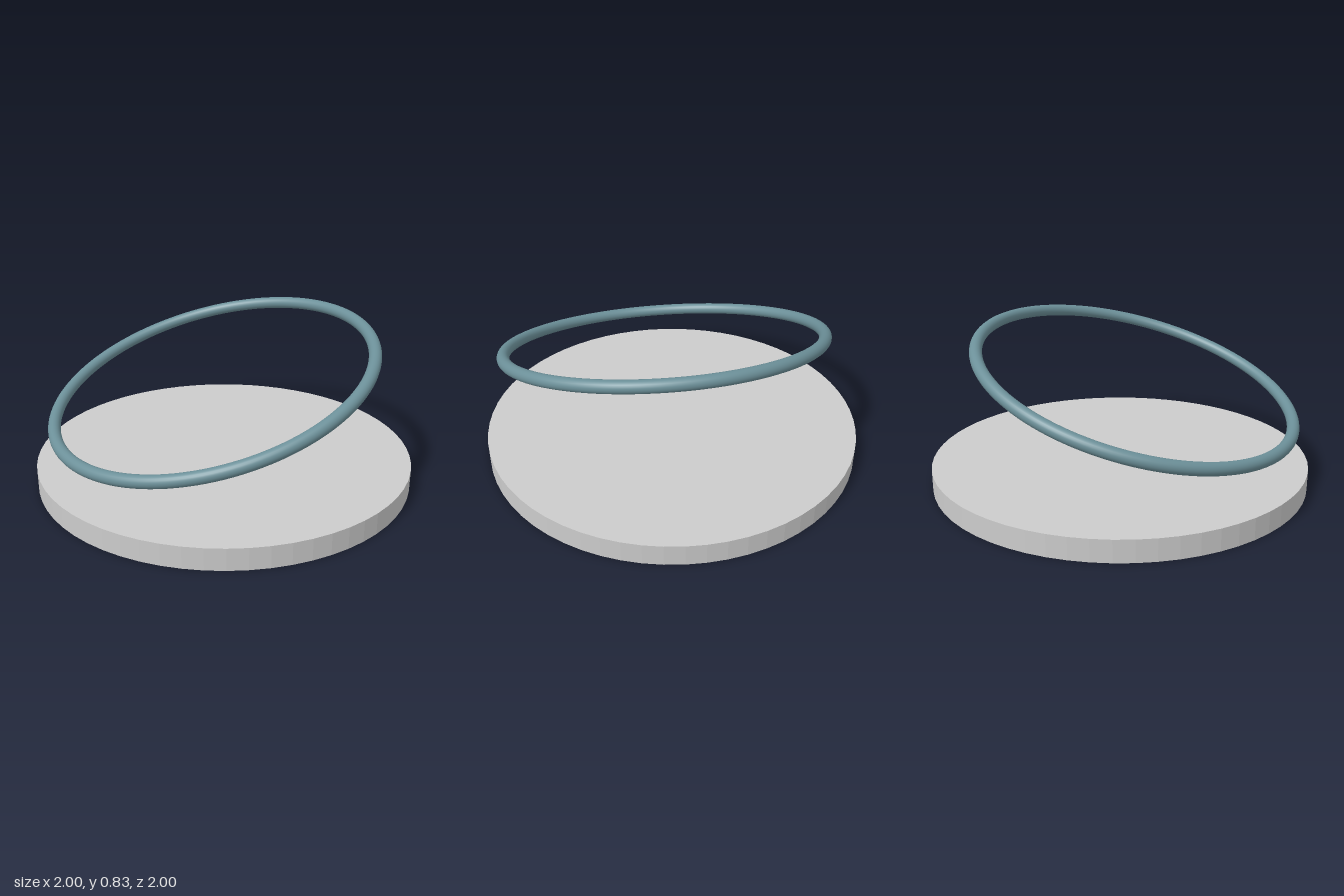
import * as THREE from 'three';

export function createModel() {
  const group = new THREE.Group();

  // Faceted round base disc
  const baseHeight = 0.112;
  const base = new THREE.Mesh(
    new THREE.CylinderGeometry(1, 1, baseHeight, 64),
    new THREE.MeshStandardMaterial({ color: 0xcccccc, flatShading: true })
  );
  base.name = 'baseDisc';
  base.position.y = baseHeight / 2;
  group.add(base);

  // Smooth ring floating above the base, tilted up towards +x and slightly towards +z
  const ring = new THREE.Mesh(
    new THREE.TorusGeometry(0.846, 0.032, 24, 128),
    new THREE.MeshStandardMaterial({ color: 0x6c9099 })
  );
  ring.name = 'tiltedRing';
  const axis = new THREE.Vector3(-0.3, 1, -0.04).normalize();
  ring.quaternion.setFromUnitVectors(new THREE.Vector3(0, 0, 1), axis);
  ring.position.set(-0.096, 0.548, 0.01);
  group.add(ring);

  return group;
}
